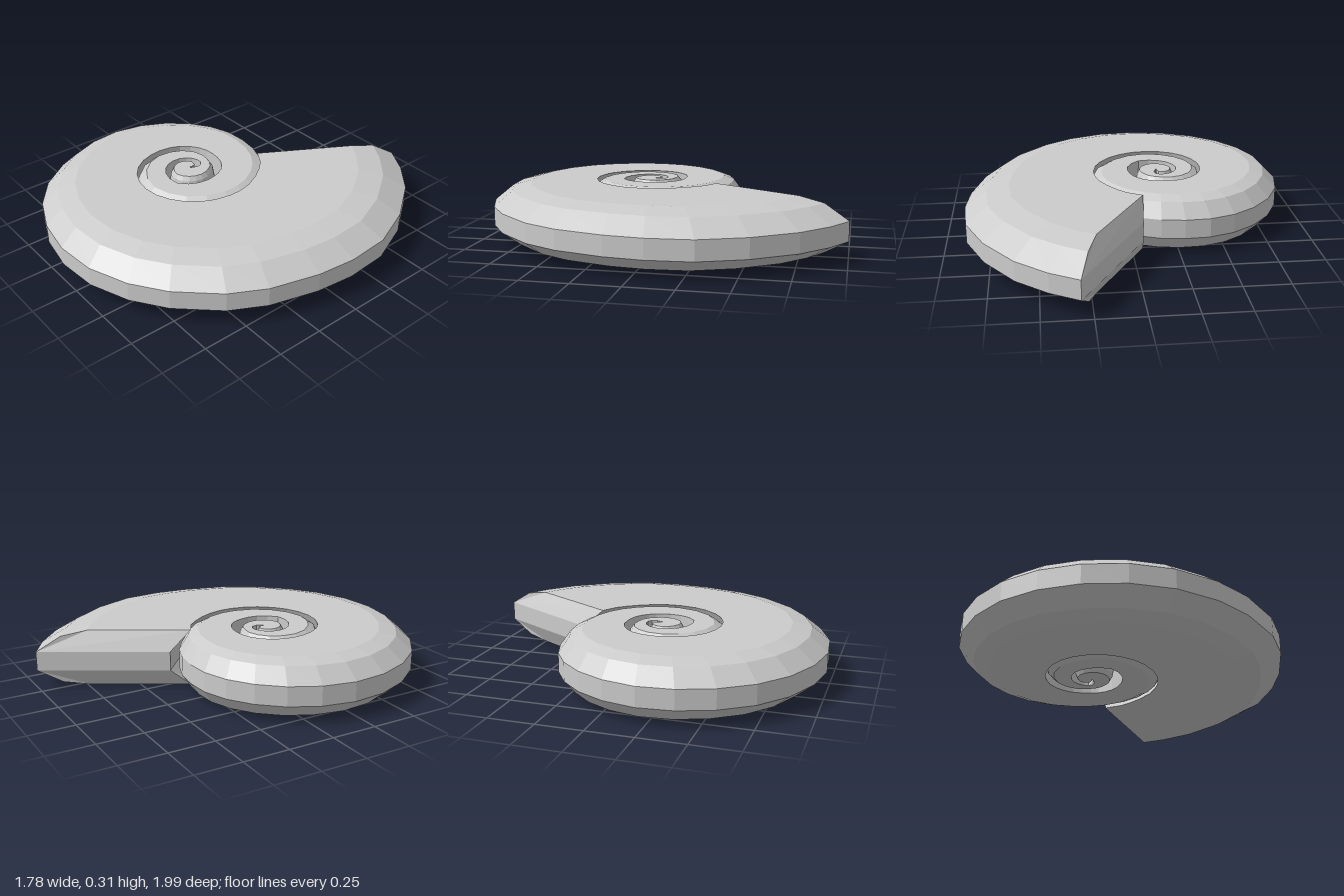
import * as THREE from 'three';

// Spiral radii as [degrees from the mouth, radius]
const OUTER = [[0, 1.222], [8, 1.213], [18, 1.197], [31, 1.165], [44, 1.135], [56, 1.085], [67, 1.045],
  [82, 1.01], [94, 0.985], [110, 0.95], [137, 0.906], [164, 0.855], [193, 0.81], [236, 0.725],
  [278, 0.616], [307, 0.55], [330, 0.495], [351, 0.466], [384, 0.43], [431, 0.4], [507, 0.36],
  [546, 0.32], [588, 0.285], [628, 0.24], [691, 0.157], [750, 0.125], [800, 0.122], [870, 0.135],
  [940, 0.115], [1000, 0.08], [1040, 0.04]];
const INNER = [[0, 0.4], [24, 0.37], [81, 0.352], [147, 0.324], [186, 0.3], [228, 0.262], [268, 0.236],
  [331, 0.18], [416, 0.16], [490, 0.178], [520, 0.155], [570, 0.13], [640, 0.095], [700, 0.07],
  [750, 0.006], [1040, 0.004]];

const CENTER = [-0.18, 0.12];
const START = -66.4; // direction of the mouth tip
const LEVELS = [0, 0.024, 0.1, 0.205, 0.285, 0.31];

function sample(table, d) {
  for (let i = 1; i < table.length; i++) {
    const [d0, r0] = table[i - 1], [d1, r1] = table[i];
    if (d <= d1) return r0 + (r1 - r0) * Math.max(0, (d - d0) / (d1 - d0));
  }
  return table[table.length - 1][1];
}

// Ten-point whorl section: bevelled outer side, inner side hugging the next whorl
function section(d) {
  const R = sample(OUTER, d);
  const rim = sample(INNER, d);
  const waist = d < 680 ? Math.max(rim, sample(OUTER, d + 360) * 1.05) : rim;
  const first = d === 0;
  const [mouthRim, mouthWaist] = first ? [-6, -9] : [0, 0];
  const bevel = first ? 1.4 : 0;
  const inWaist = first ? 0.517 : Math.min(waist, R * 0.9);
  const points = [
    [R * 0.775, LEVELS[0], bevel], [R * 0.89, LEVELS[1], bevel / 2], [R, LEVELS[2], 0],
    [R, LEVELS[3], 0], [R * 0.89, LEVELS[4], bevel / 2], [R * 0.775, LEVELS[5], bevel],
    [rim, LEVELS[5], mouthRim], [inWaist, LEVELS[3], mouthWaist],
    [inWaist, LEVELS[2], mouthWaist], [rim, LEVELS[0], mouthRim],
  ];
  return points.map(([r, y, shift]) => {
    const a = THREE.MathUtils.degToRad(START + d + shift);
    return [CENTER[0] + r * Math.cos(a), y, CENTER[1] + r * Math.sin(a)];
  });
}

function spiralGeometry() {
  const positions = [], index = [];
  // Short steps near the mouth, longer ones along the coil
  const stations = [0, 8, 18, 31, 44, 56, 67, 82, 94, 110];
  for (let d = 123; d < 420; d += 14.5) stations.push(d);
  for (let d = 428; d < 1040; d += 20) stations.push(d);
  stations.push(1040);
  const n = 10;
  stations.forEach((d) => section(d).forEach((p) => positions.push(...p)));

  // Skin between neighbouring sections
  for (let i = 0; i < stations.length - 1; i++) {
    for (let j = 0; j < n; j++) {
      const k = (j + 1) % n;
      const a = i * n + j, b = i * n + k, c = b + n, e = a + n;
      index.push(a, b, c, a, c, e);
    }
  }
  // Mouth face and the closed inner end
  const cap = [[0, 1, 2], [0, 2, 8], [0, 8, 9], [2, 3, 7], [2, 7, 8], [3, 4, 5], [3, 5, 6], [3, 6, 7]];
  const last = (stations.length - 1) * n;
  for (const [a, b, c] of cap) {
    index.push(a, c, b);
    index.push(last + a, last + b, last + c);
  }
  const indexed = new THREE.BufferGeometry();
  indexed.setAttribute('position', new THREE.Float32BufferAttribute(positions, 3));
  indexed.setIndex(index);
  const geometry = indexed.toNonIndexed();
  geometry.computeVertexNormals();
  return geometry;
}

export function createModel() {
  const group = new THREE.Group();
  group.name = 'spiralShell';
  const material = new THREE.MeshStandardMaterial({ color: 0xcccccc, flatShading: true });
  const shell = new THREE.Mesh(spiralGeometry(), material);
  shell.name = 'coiledShell';
  group.add(shell);
  return group;
}
